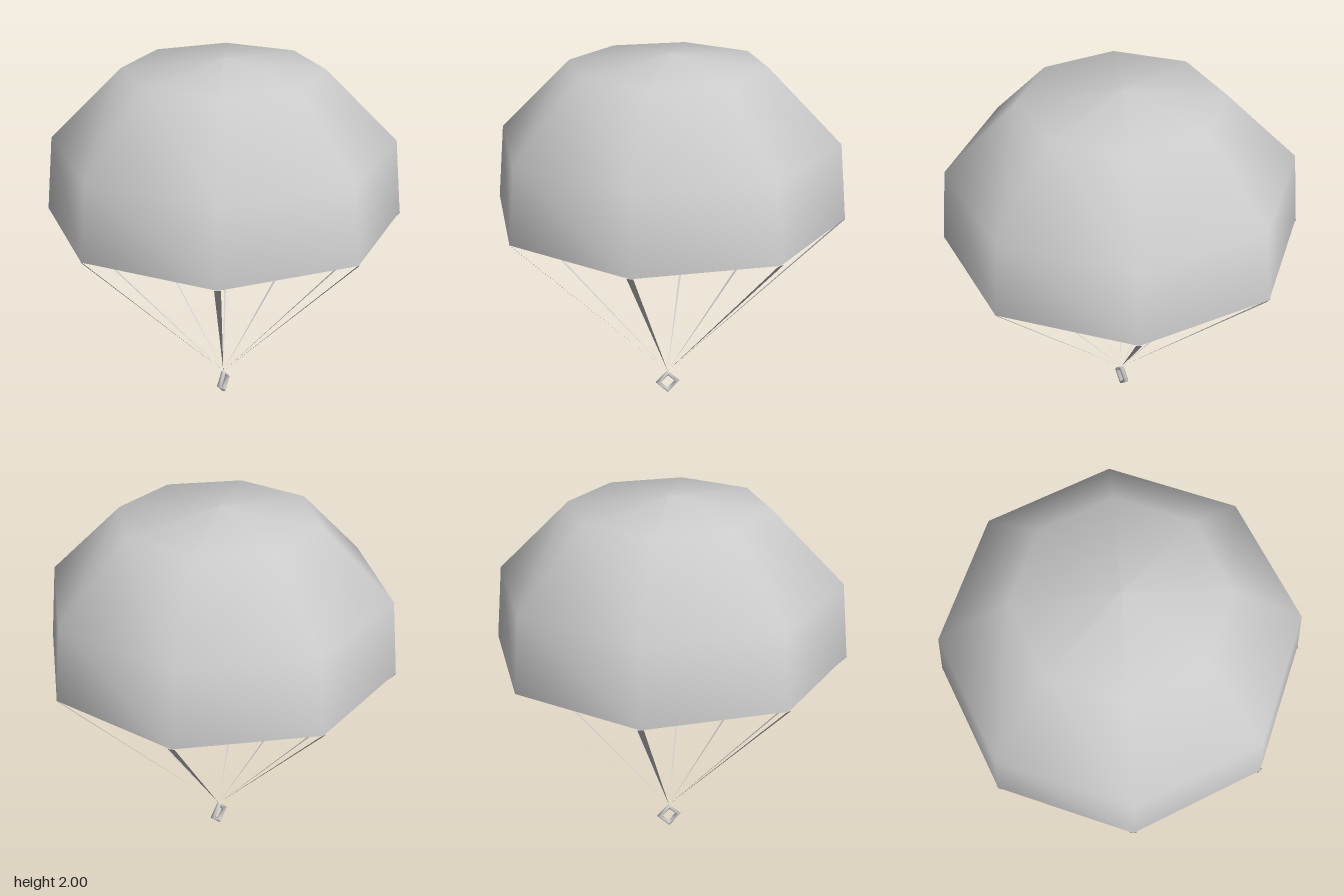
import * as THREE from 'three';

export function createModel() {
  const group = new THREE.Group();
  const material = new THREE.MeshStandardMaterial({ color: 0xcccccc });
  const clothMaterial = new THREE.MeshStandardMaterial({ color: 0xcccccc, side: THREE.DoubleSide });

  const sides = 8;
  const rimRadius = 0.952;
  const rimY = 1.16;
  const gatherY = 0.14;

  // Open eight-sided canopy, with flat sides facing front, back, left and right
  const profile = [[rimRadius, rimY], [0.909, 1.565], [0.525, 1.945], [0, 2]]
    .map(([r, y]) => new THREE.Vector2(r, y));
  const canopy = new THREE.Mesh(
    new THREE.LatheGeometry(profile, sides, Math.PI / sides), clothMaterial);
  canopy.name = 'canopy';
  group.add(canopy);

  // Flat cords, one per rim corner, tapering to a point above the ring
  const halfWidth = 0.016;
  const cordGeometry = new THREE.BufferGeometry();
  cordGeometry.setAttribute('position', new THREE.Float32BufferAttribute([
    0, gatherY, 0,
    halfWidth, rimY, rimRadius,
    -halfWidth, rimY, rimRadius,
  ], 3));
  cordGeometry.computeVertexNormals();
  const cords = new THREE.Group();
  cords.name = 'cords';
  for (let i = 0; i < sides; i++) {
    const cord = new THREE.Mesh(cordGeometry, clothMaterial);
    cord.name = `cord${i + 1}`;
    cord.rotation.y = ((i + 0.5) / sides) * Math.PI * 2;
    cords.add(cord);
  }
  group.add(cords);

  // Diamond-shaped ring where the cords meet
  const ring = new THREE.Mesh(new THREE.TorusGeometry(0.056, 0.014, 8, 4), material);
  ring.name = 'harnessRing';
  ring.rotation.y = Math.PI / 2;
  ring.position.y = 0.07;
  group.add(ring);

  return group;
}
